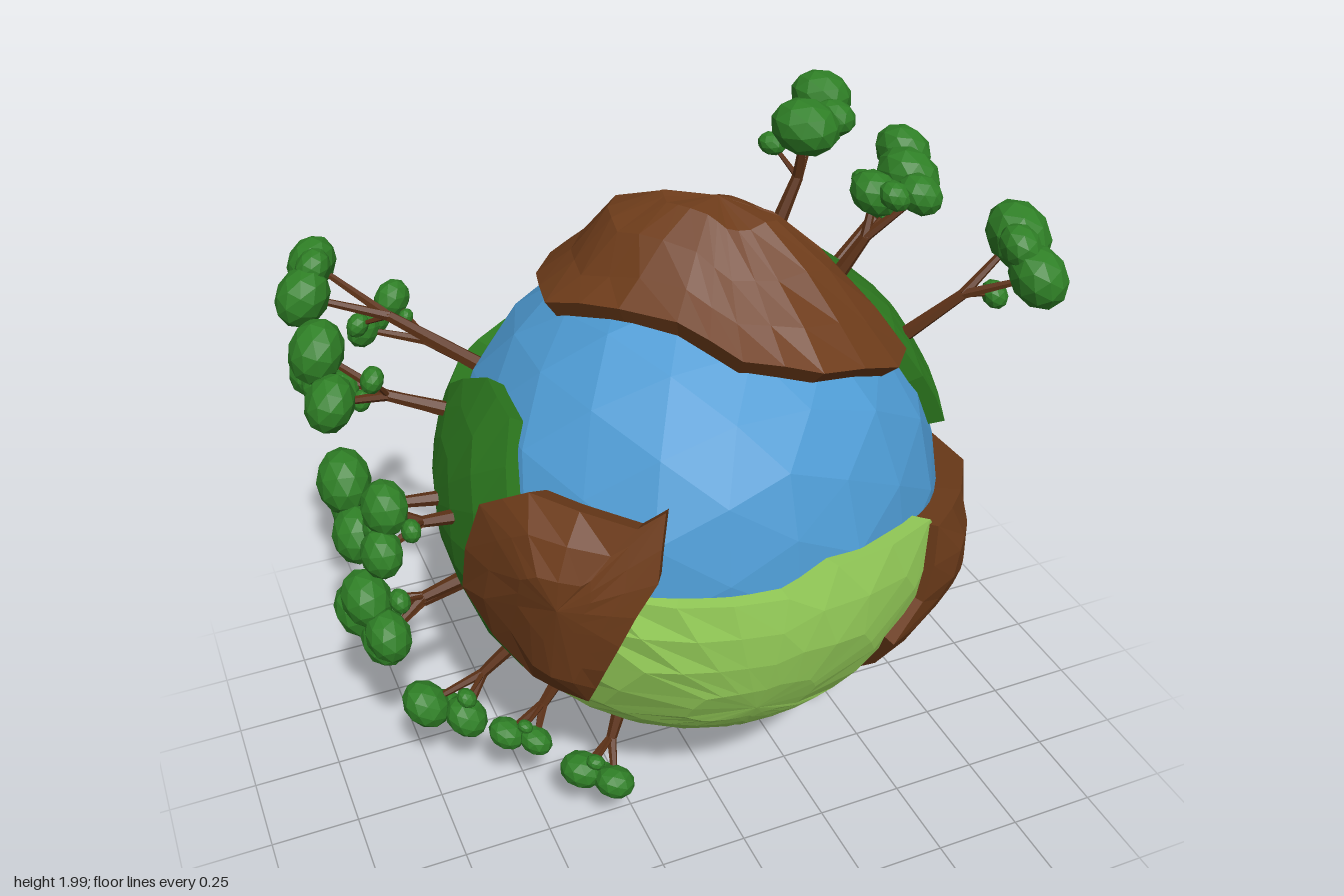
import * as THREE from 'three';

const V = (x, y, z) => new THREE.Vector3(x, y, z);
const C = V(0.05, 0.95, 0), R = 0.67, UP = V(0, 1, 0);
const mat = (color) => new THREE.MeshStandardMaterial({ color, flatShading: true });
const M = {
  sea: mat(0x4d9ad2), meadow: mat(0x9ad45c), forest: mat(0x2d7a1f), rock: mat(0x6e3c1a),
  leaf: mat(0x2f8026), trunk: mat(0x5c3116), wall: mat(0xcccccc), roof: mat(0x3a4f86),
};

function add(parent, name, geometry, material) {
  const mesh = new THREE.Mesh(geometry, material);
  mesh.name = name;
  parent.add(mesh);
  return mesh;
}

// Smooth bumpiness over the globe, roughly -1..1
const noise = (d) => Math.sin(11 * d.x + 1) * Math.sin(9 * d.y + 2.3) + 0.6 * Math.sin(13 * d.z + 8 * d.x);

// Raised land: rings from the middle to an outline of directions, then a rim wall.
// Summits are cones given as [x, y, z, height, width].
function land(parent, name, outline, material, height, { bump = 0, peak = 0, summits = [], rings = 4 } = {}) {
  let pts = outline.map((p) => V(...p).normalize());
  const mid = pts.reduce((s, p) => s.add(p), V(0, 0, 0)).normalize();
  const turn = pts.reduce((s, p, i) => s + V(0, 0, 0).crossVectors(p, pts[(i + 1) % pts.length]).dot(mid), 0);
  if (turn < 0) pts.reverse();
  // Split long outline edges so that they follow the globe
  pts = pts.flatMap((p, i) => {
    const q = pts[(i + 1) % pts.length];
    return p.distanceTo(q) > 0.22 ? [p, p.clone().add(q).normalize()] : [p];
  });
  const n = pts.length, pos = [], idx = [];
  const put = (d, r) => pos.push(d.x * r, d.y * r, d.z * r);
  const surface = (d, t) => summits.reduce(
    (r, [x, y, z, h, w]) => r + h * Math.max(0, 1 - d.distanceTo(V(x, y, z).normalize()) / w),
    R + height + Math.max(-height * 0.5, bump * noise(d) * (1 - t ** 4)) + peak * (1 - t * t));
  put(mid, surface(mid, 0));
  for (let k = 1; k <= rings; k++) {
    for (const p of pts) {
      const d = mid.clone().lerp(p, k / rings).normalize();
      put(d, surface(d, k / rings));
    }
  }
  pts.forEach((p) => put(p, R - 0.03));
  for (let i = 0; i < n; i++) {
    const j = (i + 1) % n;
    idx.push(0, 1 + i, 1 + j);
    for (let k = 0; k < rings; k++) {
      const a = 1 + k * n, b = a + n;
      idx.push(a + i, b + i, b + j, a + i, b + j, a + j);
    }
  }
  const g = new THREE.BufferGeometry();
  g.setAttribute('position', new THREE.Float32BufferAttribute(pos, 3));
  g.setIndex(idx);
  g.computeVertexNormals();
  add(parent, name, g, material).position.copy(C);
}

// Tapered limb between two points
function limb(parent, name, a, b, r0, r1) {
  const dir = b.clone().sub(a);
  const m = add(parent, name, new THREE.CylinderGeometry(r1, r0, dir.length(), 6), M.trunk);
  m.position.copy(a).lerp(b, 0.5);
  m.quaternion.setFromUnitVectors(UP, dir.normalize());
}

// Flattened leaf ball facing away from the globe
function leafBall(parent, p, r, out) {
  const m = add(parent, 'leaves', new THREE.IcosahedronGeometry(r, 1), M.leaf);
  m.position.copy(p);
  m.scale.set(1, 0.8, 1);
  m.quaternion.setFromUnitVectors(UP, out);
}

// Tree growing straight out of the globe, its crown made of balls at a and b
function tree(parent, ax, ay, az, bx, by, bz, size) {
  const g = new THREE.Group();
  g.name = 'tree';
  parent.add(g);
  const a = V(ax, ay, az), b = V(bx, by, bz), crown = a.clone().lerp(b, 0.5);
  const out = crown.clone().sub(C).normalize();
  const base = C.clone().addScaledVector(out, R - 0.02);
  const side = b.clone().sub(a).cross(out).normalize();
  const fork = base.clone().lerp(crown, 0.55).addScaledVector(side, 0.015);
  limb(g, 'trunk', base, fork, 0.023, 0.015);
  for (const [p, r] of [[a, size], [b, size * 0.9]]) {
    limb(g, 'branch', fork, p, 0.014, 0.008);
    leafBall(g, p, r, out);
  }
  leafBall(g, crown.clone().addScaledVector(side, size * 0.6), size * 0.65, out);
  const twig = fork.clone().addScaledVector(side, -0.09).addScaledVector(out, 0.06);
  limb(g, 'twig', fork, twig, 0.008, 0.005);
  leafBall(g, twig, size * 0.42, out);
}

export function createModel() {
  const root = new THREE.Group();
  root.name = 'planet';

  // Ocean globe with slightly uneven facets
  const globe = new THREE.IcosahedronGeometry(R, 3), gp = globe.attributes.position, v = V(0, 0, 0);
  for (let i = 0; i < gp.count; i++) {
    v.fromBufferAttribute(gp, i);
    v.multiplyScalar(1 + 0.01 * Math.sin(23 * v.x + 31 * v.y + 17 * v.z));
    gp.setXYZ(i, v.x, v.y, v.z);
  }
  globe.computeVertexNormals();
  add(root, 'ocean', globe, M.sea).position.copy(C);

  // Meadows
  land(root, 'frontMeadow', [[-.55, .08, .38], [-.3, .08, .6], [-.05, .08, .67], [.08, .13, .66], [.4, .09, .54],
    [.5, -.1, .43], [.4, -.42, .33], [.2, -.45, .46], [.02, -.47, .48], [-.05, -.53, .4], [-.1, -.48, .46],
    [-.3, -.48, .36], [-.5, -.4, .2], [-.62, -.25, .1]], M.meadow, 0.037, { bump: 0.002 });
  land(root, 'lowerMeadow', [[.65, -.1, .05], [.64, -.1, -.1], [.54, -.13, -.38], [.48, -.21, -.41], [.34, -.21, -.53],
    [.37, -.28, -.48], [.3, -.33, -.5], [.3, -.43, -.41], [.18, -.58, -.29], [.05, -.68, -.18], [-.1, -.68, -.05],
    [-.1, -.66, .1], [.15, -.65, .12], [.4, -.52, .12], [.56, -.35, .08]], M.meadow, 0.035,
  { bump: 0.012, summits: [[.15, -.65, -.2, 0.05, 0.6]] });
  land(root, 'backMeadow', [[.66, .15, -.14], [.6, .24, -.2], [.4, .38, -.4], [.38, .18, -.52], [.25, .02, -.62],
    [.27, -.06, -.61], [.4, .05, -.54], [.52, .13, -.4]], M.meadow, 0.025);
  land(root, 'meadowPoint', [[-.1, -.66, 0], [-.05, -.66, -.12], [-.2, -.6, -.22], [-.36, -.5, -.28], [-.3, -.58, -.1]],
    M.meadow, 0.03);

  // Forest floors
  land(root, 'rightForest', [[.13, .58, -.3], [.43, .34, -.38], [.56, .22, -.3], [.64, .21, .1], [.6, .22, .17],
    [.57, .3, .2], [.55, .2, .31], [.48, .35, .31], [.42, .45, .27], [.25, .6, .2], [.15, .65, 0], [.06, .63, -.2]],
    M.forest, 0.035, { bump: 0.006 });
  land(root, 'leftForest', [[-.22, .11, -.63], [-.22, .25, -.6], [-.43, .25, -.45], [-.56, .27, -.22], [-.52, .4, 0],
    [-.52, .38, .15], [-.58, .2, .27], [-.6, -.1, .3], [-.54, -.36, .16], [-.38, -.54, .04], [-.26, -.62, -.06],
    [-.4, -.42, -.3], [-.46, -.16, -.46]], M.forest, 0.042, { bump: 0.005 });
  land(root, 'lowerForest', [[-.62, -.27, .08], [-.5, -.38, .27], [-.3, -.48, .37], [0, -.5, .43], [.35, -.47, .32],
    [.3, -.58, .12], [.05, -.66, .06], [-.26, -.62, -.06], [-.5, -.4, -.15]], M.forest, 0.022);

  // Rocky highlands
  land(root, 'rightMountain', [[.42, .08, .57], [.55, .05, .4], [.68, -.03, .05], [.6, -.3, .07], [.43, -.5, .1],
    [.3, -.5, .35], [.3, -.25, .55], [.38, -.15, .54]], M.rock, 0.06,
  { bump: 0.025, peak: 0.03, rings: 3, summits: [[.6, -.08, .22, 0.04, 0.4], [.48, -.35, .3, 0.04, 0.35]] });
  land(root, 'leftMountain', [[-.63, .2, .2], [-.55, .29, .32], [-.36, .27, .52], [-.3, .31, .54], [-.33, .15, .57],
    [-.38, .06, .56], [-.43, -.12, .5], [-.45, -.28, .42], [-.56, -.28, .3], [-.66, -.08, .13]], M.rock, 0.06,
  { bump: 0.02, peak: 0.03, rings: 3 });
  land(root, 'topMountain', [[-.13, .47, -.44], [.05, .55, -.36], [.13, .58, -.3], [.05, .64, -.2], [.17, .65, 0],
    [.23, .6, .2], [.38, .48, .25], [.42, .43, .3], [.36, .43, .37], [.13, .5, .43], [-.05, .54, .38], [-.15, .59, .25],
    [-.25, .6, .15], [-.37, .56, -.02], [-.33, .54, -.18], [-.19, .53, -.36]], M.rock, 0.05,
  { bump: 0.02, peak: 0.03, summits: [[-.07, .67, -.03, 0.12, 0.3], [.09, .65, .12, 0.11, 0.3]] });

  // Trees: the two crown balls and their size
  const trees = [
    [.36, 1.9, -.02, .47, 1.92, -.15, .09], [.51, 1.74, .09, .6, 1.75, .16, .07],
    [.85, 1.63, .25, .84, 1.57, .37, .1], [.76, 1.64, -.16, .81, 1.66, -.28, .095],
    [-.88, 1.49, -.4, -.83, 1.53, -.5, .085], [-.6, 1.3, -.65, -.7, 1.25, -.6, .06],
    [-.88, 1.38, -.3, -.88, 1.28, -.2, .09], [-.88, 1.25, -.44, -.82, 1.18, -.4, .075],
    [-.88, 1.07, -.15, -.88, .96, -.06, .09], [-.82, 1.1, .05, -.85, 1, .1, .075],
    [-.88, .75, -.05, -.85, .68, .04, .085], [-.88, .6, -.2, -.84, .55, -.1, .085],
    [-.76, .35, -.02, -.66, .31, .03, .075], [-.57, .29, .12, -.5, .28, .17, .055],
    [-.4, .22, .27, -.33, .21, .34, .065],
  ];
  trees.forEach((t) => tree(root, ...t));

  // City hanging from the underside: x, z, lowest wall height, radius
  const city = new THREE.Group();
  city.name = 'city';
  root.add(city);
  const towers = [[.14, -.03, .06, .042], [-.04, -.08, .11, .04], [.025, -.11, .1, .042], [-.02, -.18, .11, .036],
    [.04, -.21, .11, .036], [.13, -.14, .1, .036], [.17, -.09, .12, .034]];
  for (const [x, z, y, r] of towers) {
    add(city, 'tower', new THREE.CylinderGeometry(r, r, 0.32 - y, 8), M.wall).position.set(x, (0.32 + y) / 2, z);
    add(city, 'roof', new THREE.CylinderGeometry(r * 1.05, r * 0.5, 0.025, 8), M.roof).position.set(x, y - 0.0125, z);
    add(city, 'spire', new THREE.CylinderGeometry(0.006, 0.002, 0.035, 5), M.roof).position.set(x, y - 0.0425, z);
  }
  return root;
}
